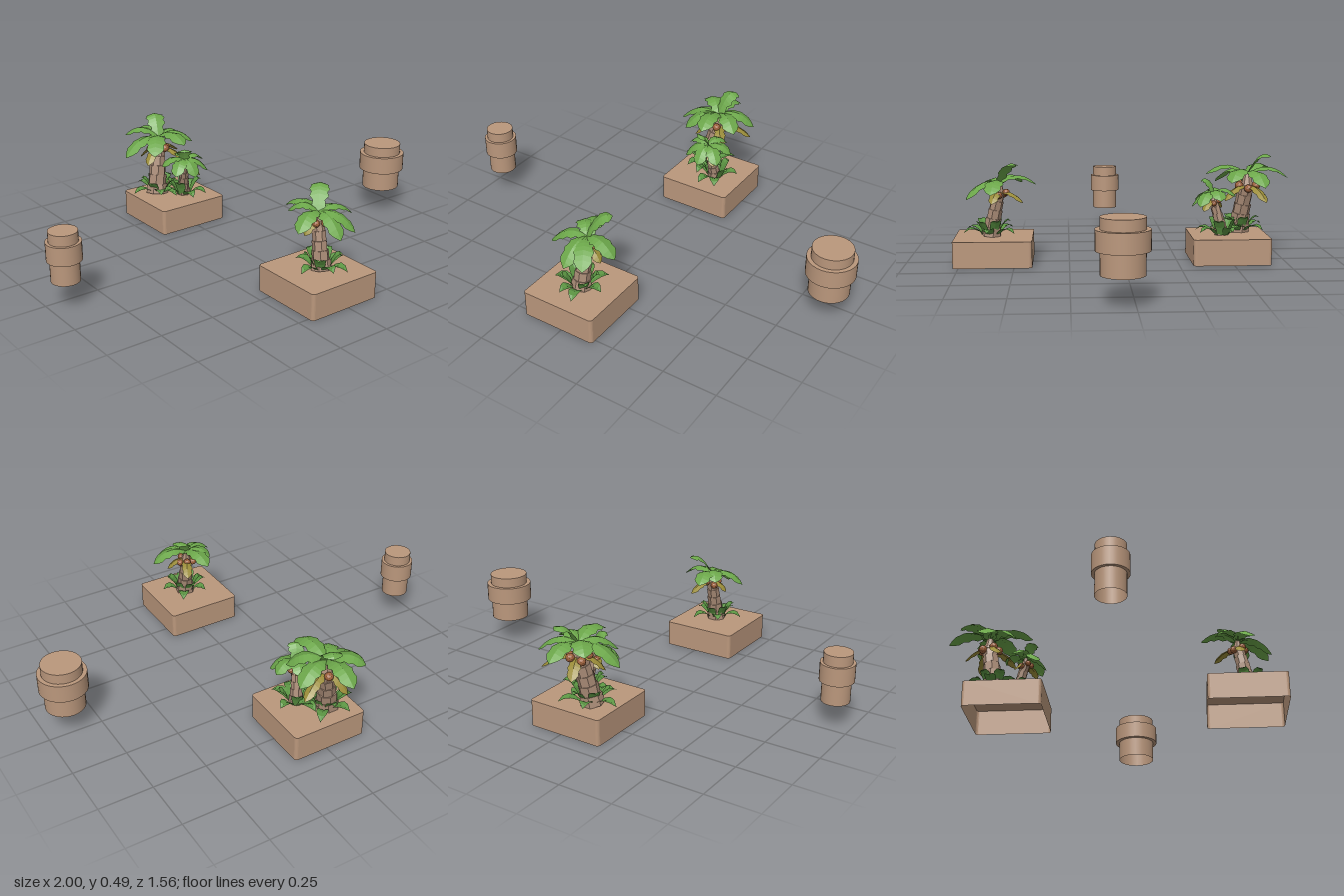
import * as THREE from 'three';

const mat = (name, color, side = THREE.FrontSide, flatShading = true) =>
  Object.assign(new THREE.MeshStandardMaterial({ color, side, flatShading }), { name });

const M = {
  clay: mat('clay', 0xba977c, THREE.DoubleSide, false),
  bark: mat('bark', 0xa98b76),
  leaf: mat('leafGreen', 0x6ca74a, THREE.DoubleSide),
  ground: mat('groundGreen', 0x5c9643, THREE.DoubleSide),
  dry: mat('dryLeaf', 0x9a8c38, THREE.DoubleSide),
  nut: mat('coconut', 0xa0623c),
};
const V = (x, y, z) => new THREE.Vector3(x, y, z);

function add(parent, name, geometry, material) {
  const mesh = new THREE.Mesh(geometry, material);
  mesh.name = name;
  parent.add(mesh);
  return mesh;
}

// Half widths along a blade, from root to tip
const FROND = [0.3, 0.72, 0.62, 0.98, 0.82, 1.05, 0.84, 0.92, 0.6, 0];
const BLADE = [0.5, 0.9, 1, 0.7, 0];

// Arched leaf with a raised midrib and lowered edges
function leafGeometry(from, to, arch, half, profile, fold) {
  const mid = from.clone().lerp(to, 0.55);
  mid.y += arch;
  const curve = new THREE.QuadraticBezierCurve3(from, mid, to);
  const across = V(to.z - from.z, 0, from.x - to.x).normalize();
  const rows = profile.map((w, i) => {
    const p = curve.getPoint(i / (profile.length - 1));
    const edge = (s) => p.clone().addScaledVector(across, s * w * half).add(V(0, -w * half * fold, 0));
    return [edge(-1), p, edge(1)];
  });
  const pos = [];
  for (let i = 0; i < rows.length - 1; i++) {
    for (let k = 0; k < 2; k++) {
      const a = rows[i][k], b = rows[i][k + 1], c = rows[i + 1][k + 1], d = rows[i + 1][k];
      for (const p of [a, c, b, a, d, c]) pos.push(p.x, p.y, p.z);
    }
  }
  const g = new THREE.BufferGeometry();
  g.setAttribute('position', new THREE.Float32BufferAttribute(pos, 3));
  g.computeVertexNormals();
  return g;
}

// Trunk of stacked, slightly flared rings along a bent path
function trunk(parent, base, top, r0, r1, count) {
  const bend = V(base.x * 0.65 + top.x * 0.35, (base.y + top.y) / 2, base.z * 0.65 + top.z * 0.35);
  const curve = new THREE.QuadraticBezierCurve3(base, bend, top);
  for (let i = 0; i < count; i++) {
    const a = curve.getPoint(i / count), b = curve.getPoint((i + 1) / count);
    const r = (t) => r0 + (r1 - r0) * Math.sqrt(t / count);
    const ring = add(parent, 'trunkRing',
      new THREE.CylinderGeometry(r(i + 1) * 1.06, r(i) * 0.96, a.distanceTo(b) * 1.03, 7), M.bark);
    ring.position.copy(a).lerp(b, 0.5);
    ring.quaternion.setFromUnitVectors(V(0, 1, 0), b.clone().sub(a).normalize());
    ring.rotateY(i * 0.2);
  }
}

function palm({ name, base, top, r0, r1, rings, tips, dry, heartRise, arch, half, nut }) {
  const tree = new THREE.Group();
  tree.name = name;
  trunk(tree, base, top, r0, r1, rings);
  const heart = top.clone().add(V(0, heartRise, 0));
  tips.forEach(([x, y, z]) => add(tree, 'frond',
    leafGeometry(heart, V(x, y, z), arch, half, FROND, 0.3), M.leaf));
  // Hanging dry fronds
  dry.forEach(([x, y, z]) => add(tree, 'dryFrond',
    leafGeometry(top, V(x, y, z), arch * 0.6, half * 0.6, FROND, 0.4), M.dry));
  // Short stem that carries the fronds
  const stem = add(tree, 'crownStem', new THREE.CylinderGeometry(r1 * 0.4, r1 * 0.9, heartRise, 7), M.bark);
  stem.position.copy(top).y += heartRise / 2;
  // Coconut cluster
  for (let i = 0; i < 5; i++) {
    const a = i * Math.PI * 0.4 + 0.3, r = r1 + nut * 0.45;
    add(tree, 'coconut', new THREE.IcosahedronGeometry(nut, 1), M.nut).position
      .set(top.x + Math.sin(a) * r, top.y - (i % 2) * 0.012, top.z + Math.cos(a) * r);
  }
  return tree;
}

// Ring of pointed ground leaves
function groundLeaves(parent, x, z, count, reach, phase) {
  for (let i = 0; i < count; i++) {
    const a = phase + i * Math.PI * 2 / count;
    const l = reach * [1, 0.7, 0.9, 0.62][i % 4];
    const dir = V(Math.sin(a), 0, Math.cos(a));
    const from = V(x, 0.121, z).addScaledVector(dir, 0.03);
    const to = V(x, [0.14, 0.19, 0.15, 0.195][i % 4], z).addScaledVector(dir, l);
    add(parent, 'groundLeaf', leafGeometry(from, to, 0.05, 0.026, BLADE, -0.25), M.ground);
  }
}

// Open-bottomed box with rounded upright edges
function planter(parent, cz) {
  const s = 0.179, r = 0.015;
  const shape = new THREE.Shape();
  [[1, -1], [1, 1], [-1, 1], [-1, -1]].forEach(([x, y], i) => {
    const turn = (i - 1) * Math.PI / 2;
    shape.absarc(x * (s - r), y * (s - r), r, turn, turn + Math.PI / 2, false);
  });
  const box = new THREE.Group();
  box.name = 'planter';
  box.position.set(-0.018, 0, cz);
  parent.add(box);
  const lid = add(box, 'planterTop', new THREE.ShapeGeometry(shape, 4), M.clay);
  lid.rotation.x = -Math.PI / 2;
  lid.position.y = 0.12;
  // Side walls only: drop the caps of the extrusion
  const walls = new THREE.ExtrudeGeometry(shape, { depth: 0.12, bevelEnabled: false, curveSegments: 4 });
  const side = walls.groups[1];
  walls.clearGroups();
  walls.addGroup(side.start, side.count, 0);
  add(box, 'planterWalls', walls, [M.clay]).rotation.x = -Math.PI / 2;
}

// Hollow banded pot with a closed top; each straight run is its own lathe to keep edges sharp
function pot(parent, x, z, rBody, rBand) {
  const g = new THREE.Group();
  g.name = 'pot';
  g.position.set(x, 0, z);
  parent.add(g);
  const prof = [[rBody, 0.12], [rBody, 0.215], [rBand, 0.215], [rBand, 0.298],
    [rBody, 0.298], [rBody, 0.345], [0, 0.345]];
  for (let i = 0; i < prof.length - 1; i++) {
    add(g, 'potWall', new THREE.LatheGeometry(
      [prof[i], prof[i + 1]].map(([r, y]) => new THREE.Vector2(r, y)), 32), M.clay);
  }
}

export function createModel() {
  const model = new THREE.Group();
  model.name = 'palmPlantersAndPots';

  planter(model, 0.597);
  planter(model, -0.492);
  pot(model, -0.923, 0.05, 0.063, 0.076);
  pot(model, 0.89, 0.05, 0.09, 0.109);

  model.add(palm({
    name: 'frontPalm', base: V(-0.01, 0.122, 0.61), top: V(0, 0.325, 0.57),
    r0: 0.05, r1: 0.026, rings: 5, heartRise: 0.045, arch: 0.075, half: 0.042, nut: 0.017,
    tips: [[-0.03, 0.355, 0.4], [0.165, 0.33, 0.6], [0.08, 0.3, 0.715], [-0.15, 0.32, 0.62],
      [-0.08, 0.36, 0.47], [0.08, 0.455, 0.49], [-0.01, 0.29, 0.725]],
    dry: [[0.05, 0.28, 0.46], [-0.08, 0.28, 0.58], [0.09, 0.28, 0.6]],
  }));
  model.add(palm({
    name: 'tallBackPalm', base: V(-0.08, 0.122, -0.55), top: V(-0.04, 0.345, -0.585),
    r0: 0.058, r1: 0.033, rings: 5, heartRise: 0.055, arch: 0.085, half: 0.046, nut: 0.02,
    tips: [[-0.04, 0.375, -0.78], [-0.24, 0.33, -0.57], [0.13, 0.35, -0.64], [0.1, 0.37, -0.49],
      [-0.15, 0.35, -0.45], [-0.02, 0.4, -0.385], [-0.16, 0.4, -0.7], [0.0, 0.48, -0.69]],
    dry: [[0.11, 0.28, -0.65], [-0.08, 0.27, -0.69], [-0.14, 0.28, -0.53], [0.04, 0.28, -0.47]],
  }));
  model.add(palm({
    name: 'shortBackPalm', base: V(0.02, 0.122, -0.46), top: V(0, 0.28, -0.42),
    r0: 0.036, r1: 0.02, rings: 5, heartRise: 0.035, arch: 0.06, half: 0.037, nut: 0.014,
    tips: [[0, 0.25, -0.32], [0.09, 0.26, -0.35], [-0.09, 0.26, -0.36], [0.115, 0.29, -0.44],
      [-0.11, 0.29, -0.45], [0.04, 0.3, -0.52], [-0.03, 0.37, -0.37]],
    dry: [[0.06, 0.235, -0.37], [-0.05, 0.235, -0.46]],
  }));

  groundLeaves(model, -0.01, 0.61, 11, 0.13, 0.3);
  groundLeaves(model, -0.07, -0.55, 11, 0.14, 0.1);
  groundLeaves(model, 0.02, -0.46, 9, 0.125, 0.5);
  return model;
}
